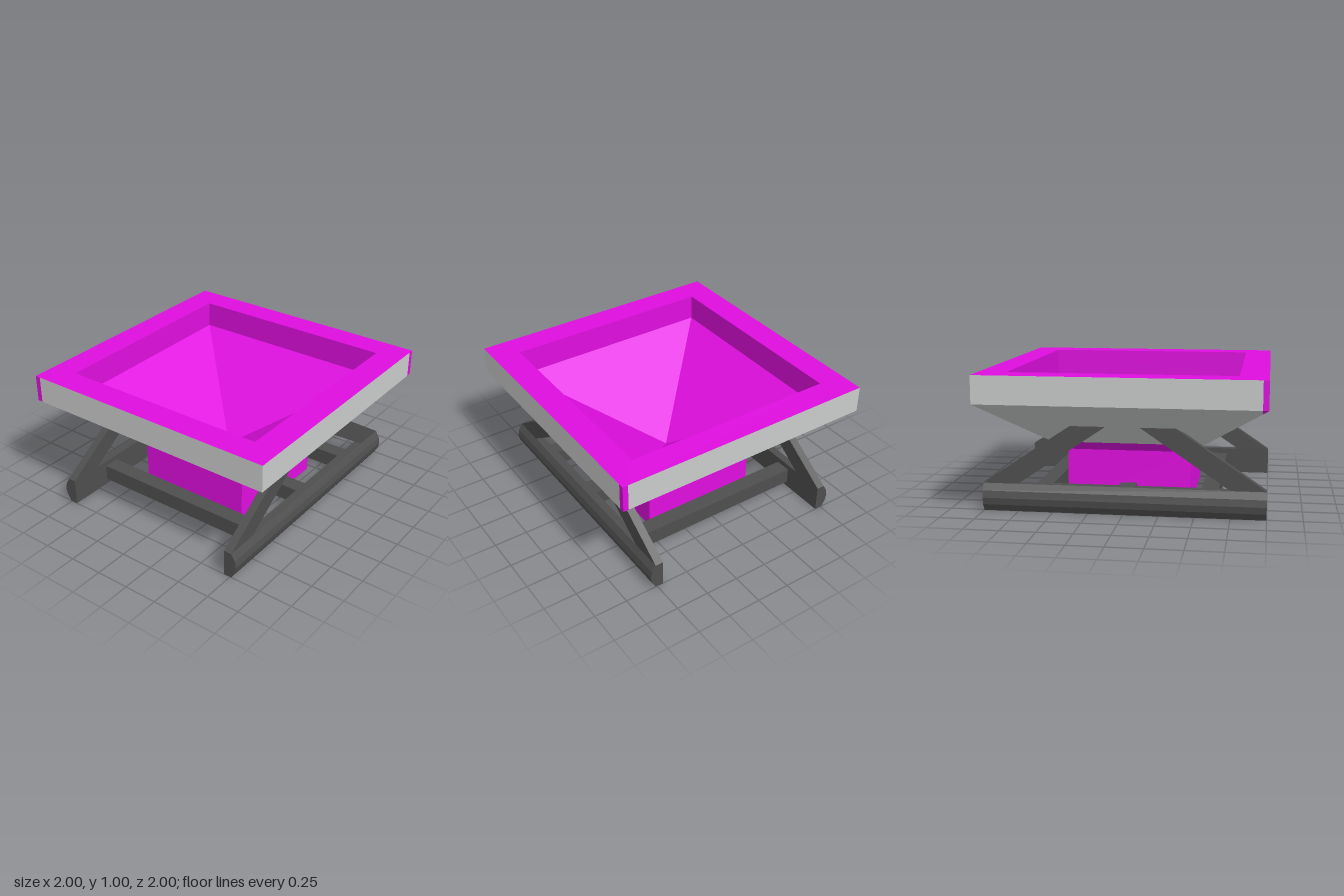
import * as THREE from 'three';
import { mergeGeometries } from 'three/addons/utils/BufferGeometryUtils.js';

const material = (name, color) => {
  const m = new THREE.MeshStandardMaterial({ color });
  m.name = name;
  return m;
};

// One flat convex polygon, given for the front, repeated on all four sides.
// Neighbouring sides mirror each other across the diagonal x = z.
function fourSides(points) {
  const sides = [
    ([x, y, z]) => [x, y, z],
    ([x, y, z]) => [-x, y, -z],
    ([x, y, z]) => [z, y, x],
    ([x, y, z]) => [-z, y, -x],
  ];
  return mergeGeometries(sides.map((move, i) => {
    const p = points.map(move);
    if (i > 1) p.reverse();
    const tris = [];
    for (let k = 1; k < p.length - 1; k++) tris.push(...p[0], ...p[k], ...p[k + 1]);
    const g = new THREE.BufferGeometry();
    g.setAttribute('position', new THREE.Float32BufferAttribute(tris, 3));
    g.computeVertexNormals();
    return g;
  }));
}

function extrude(points, depth) {
  const shape = new THREE.Shape(points.map(([x, y]) => new THREE.Vector2(x, y)));
  return new THREE.ExtrudeGeometry(shape, { depth, bevelEnabled: false });
}

export function createModel() {
  const magenta = material('magenta', 0xe00ee0);
  const lightGray = material('light gray', 0xcacccb);
  const darkGray = material('dark gray', 0x4f4f4f);

  const model = new THREE.Group();
  model.name = 'hopper';
  const add = (parent, name, geometry, mat) => {
    const mesh = new THREE.Mesh(geometry, mat);
    mesh.name = name;
    parent.add(mesh);
    return mesh;
  };

  // Funnel: z follows the sloped underside for a given height
  const slope = (y) => 0.45 + (y - 0.4) * 0.55 / 0.4;
  const cut = 0.96;
  const yCut = 0.4 + (cut - 0.45) * 0.4 / 0.55;
  const yTrim = 0.47;
  const t = slope(yTrim);

  const funnel = new THREE.Group();
  funnel.name = 'funnel';
  model.add(funnel);

  // Gray skins
  add(funnel, 'rimSidePanels', fourSides([[-cut, 0.8, 1], [1, 0.8, 1], [1, 1, 1], [-cut, 1, 1]]), lightGray);
  add(funnel, 'slopePanels', fourSides([
    [-t, yTrim, t], [t, yTrim, t], [1, 0.8, 1], [-cut, 0.8, 1], [-cut, yCut, cut],
  ]), lightGray);

  // Magenta body: corner strips, rim, basin and neck
  const body = {
    cornerStrips: [[-1, 0.8, 1], [-cut, 0.8, 1], [-cut, 1, 1], [-1, 1, 1]],
    cornerTips: [[-cut, yCut, cut], [-cut, 0.8, 1], [-1, 0.8, 1]],
    slopeTrim: [[-0.45, 0.4, 0.45], [0.45, 0.4, 0.45], [t, yTrim, t], [-t, yTrim, t]],
    rimTop: [[-1, 1, 1], [1, 1, 1], [0.8, 1, 0.8], [-0.8, 1, 0.8]],
    basinWalls: [[0.8, 0.8, 0.8], [-0.8, 0.8, 0.8], [-0.8, 1, 0.8], [0.8, 1, 0.8]],
    basinFloor: [[-0.8, 0.8, 0.8], [0.8, 0.8, 0.8], [0, 0.3, 0]],
    neckWalls: [[-0.45, 0, 0.45], [0.45, 0, 0.45], [0.45, 0.4, 0.45], [-0.45, 0.4, 0.45]],
    neckBottom: [[0.45, 0, 0.45], [-0.45, 0, 0.45], [0, 0, 0]],
  };
  for (const [name, points] of Object.entries(body)) add(funnel, name, fourSides(points), magenta);

  // Frame: a faceted rail with two slanted braces on each side
  const railGeometry = extrude([
    [0.7, 0], [0.76, 0], [0.79, 0.05], [0.8, 0.1], [0.79, 0.15], [0.76, 0.2], [0.7, 0.2],
  ], 2).translate(0, 0, -1);
  const brace = (s) => extrude([
    [s, 0.2], [s * 0.75, 0.2], [s * 0.12, 0.625], [s * 0.37, 0.625],
  ], 0.06).rotateY(-Math.PI / 2).translate(0.76, 0, 0);

  const frame = new THREE.Group();
  frame.name = 'frame';
  model.add(frame);
  for (const [name, turn] of [['leftSide', 0], ['rightSide', Math.PI]]) {
    const side = new THREE.Group();
    side.name = name;
    side.rotation.y = turn;
    add(side, 'rail', railGeometry, darkGray);
    for (const s of [1, -1]) add(side, 'brace', brace(s), darkGray);
    frame.add(side);
  }

  // Cross bars between the rails
  for (const z of [-0.6, 0, 0.6]) {
    add(frame, 'crossBar', new THREE.BoxGeometry(1.4, 0.12, 0.12), darkGray).position.set(0, 0.1, z);
  }
  return model;
}
